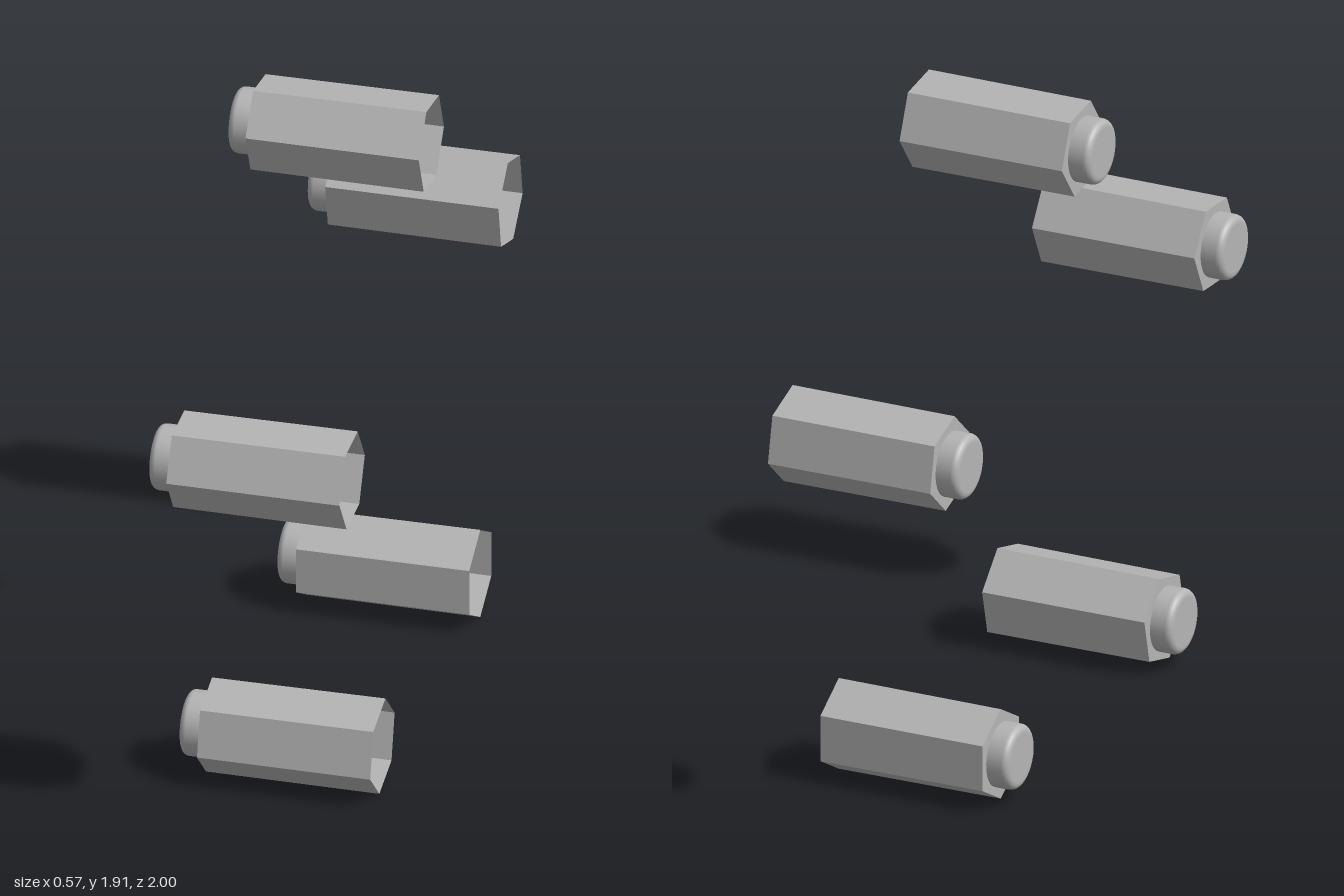
import * as THREE from 'three';

const OPEN_X = 0.285, SHOULDER_X = -0.22, TIP_X = -0.285;
const HEX_RADIUS = 0.138, CAP_RADIUS = 0.095;

export function createModel() {
  const model = new THREE.Group();
  model.name = 'lugNuts';
  const steel = new THREE.MeshStandardMaterial({ color: 0xb4b4b4, side: THREE.DoubleSide });
  steel.name = 'grey steel';

  // Hollow six-sided sleeve along x, open at +x
  const length = OPEN_X - SHOULDER_X;
  const indexedSleeve = new THREE.CylinderGeometry(HEX_RADIUS - 0.001, HEX_RADIUS + 0.001, length, 6, 1, true);
  const sleeve = indexedSleeve.toNonIndexed();
  sleeve.rotateZ(Math.PI / 2);
  sleeve.translate((OPEN_X + SHOULDER_X) / 2, 0, 0);
  sleeve.computeVertexNormals();

  // Flat hexagonal shoulder with a round opening into the cap
  const outline = new THREE.Shape();
  for (let i = 0; i < 6; i++) {
    const a = i * Math.PI / 3, r = HEX_RADIUS - 0.001;
    if (i) outline.lineTo(r * Math.cos(a), r * Math.sin(a));
    else outline.moveTo(r, 0);
  }
  outline.closePath();
  const hole = new THREE.Path();
  hole.absarc(0, 0, CAP_RADIUS, 0, Math.PI * 2, true);
  outline.holes.push(hole);
  const shoulder = new THREE.ShapeGeometry(outline, 16);
  shoulder.rotateY(-Math.PI / 2);
  shoulder.translate(SHOULDER_X, 0, 0);

  // Round hollow cap with a softened rim
  const profile = [new THREE.Vector2(CAP_RADIUS, -SHOULDER_X)];
  const bevel = 0.02;
  for (let i = 0; i <= 5; i++) {
    const a = i / 5 * Math.PI / 2;
    profile.push(new THREE.Vector2(CAP_RADIUS - bevel + bevel * Math.cos(a), -TIP_X - bevel + bevel * Math.sin(a)));
  }
  profile.push(new THREE.Vector2(CAP_RADIUS - bevel - 0.003, -TIP_X), new THREE.Vector2(0, -TIP_X));
  const cap = new THREE.LatheGeometry(profile, 32);
  cap.rotateZ(Math.PI / 2);

  // Five nuts on a circle, each turned by its own amount
  const turns = [7, -4, 44, 30, 18];
  turns.forEach((turn, i) => {
    const nut = new THREE.Group();
    nut.name = 'nut' + (i + 1);
    for (const [name, geometry] of [['sleeve', sleeve], ['shoulder', shoulder], ['cap', cap]]) {
      const mesh = new THREE.Mesh(geometry, steel);
      mesh.name = name;
      nut.add(mesh);
    }
    const a = i * Math.PI * 2 / 5;
    nut.position.set(0, 0.878 + 0.91 * Math.cos(a), 0.91 * Math.sin(a));
    nut.rotation.x = -THREE.MathUtils.degToRad(turn);
    model.add(nut);
  });
  return model;
}
